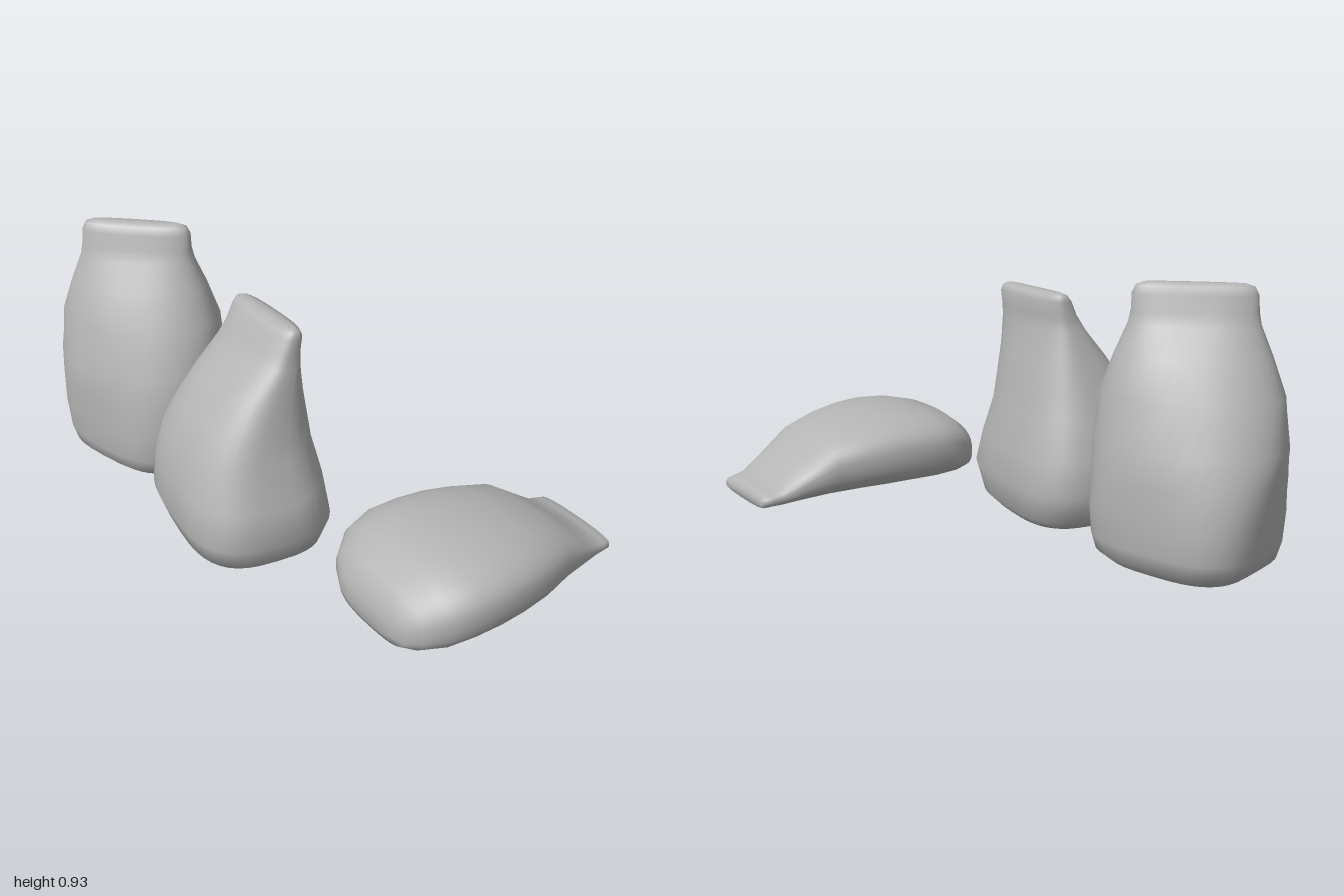
import * as THREE from 'three';

const SEGMENTS = 40;

// Skin a closed sack through rings [height, centreU, centreV, halfU, halfV, turn in degrees, squareness]
function loft(rings, place) {
  const positions = [], index = [];
  for (const [h, cu, cv, a, b, deg, n] of rings) {
    const turn = THREE.MathUtils.degToRad(deg), c = Math.cos(turn), s = Math.sin(turn);
    for (let j = 0; j < SEGMENTS; j++) {
      const t = (j / SEGMENTS) * Math.PI * 2;
      const round = (k) => Math.sign(k) * Math.pow(Math.abs(k), 2 / n);
      const u = a * round(Math.cos(t)), v = b * round(Math.sin(t));
      positions.push(...place(cu + u * c - v * s, cv + u * s + v * c, h));
    }
  }
  for (let i = 0; i < rings.length - 1; i++) {
    for (let j = 0; j < SEGMENTS; j++) {
      const k = (j + 1) % SEGMENTS, p = i * SEGMENTS, q = p + SEGMENTS;
      index.push(p + j, q + j, p + k, q + j, q + k, p + k);
    }
  }
  // Close both ends with a fan
  const last = rings.length - 1;
  for (const i of [0, last]) {
    const [h, cu, cv] = rings[i], centre = positions.length / 3, p = i * SEGMENTS;
    positions.push(...place(cu, cv, h));
    for (let j = 0; j < SEGMENTS; j++) {
      const k = (j + 1) % SEGMENTS;
      if (i === 0) index.push(centre, p + j, p + k);
      else index.push(centre, p + k, p + j);
    }
  }
  const geometry = new THREE.BufferGeometry();
  geometry.setAttribute('position', new THREE.Float32BufferAttribute(positions, 3));
  geometry.setIndex(index);
  geometry.computeVertexNormals();
  return geometry;
}

export function createModel() {
  const group = new THREE.Group();
  const cloth = new THREE.MeshStandardMaterial({ color: 0xb4b4b4 });
  cloth.name = 'grey cloth';

  const upright = (u, v, h) => [u, h, v];
  const lying = (u, v, h) => [u, v, -h];

  const add = (name, rings, place) => {
    const mesh = new THREE.Mesh(loft(rings, place), cloth);
    mesh.name = name;
    group.add(mesh);
  };

  // Tall sack whose flat mouth is turned diagonally to its square base
  add('tallSack', [
    [0.003, -0.69, 0.325, 0.19, 0.15, -14, 3],
    [0.012, -0.69, 0.325, 0.235, 0.195, -14, 3],
    [0.05, -0.69, 0.325, 0.28, 0.237, -14, 3],
    [0.1, -0.69, 0.325, 0.293, 0.25, -14, 3],
    [0.2, -0.69, 0.325, 0.302, 0.257, -16, 2.9],
    [0.32, -0.69, 0.327, 0.31, 0.257, -22, 2.5],
    [0.42, -0.688, 0.33, 0.315, 0.245, -30, 2.2],
    [0.58, -0.686, 0.33, 0.295, 0.195, -41, 2.1],
    [0.7, -0.686, 0.33, 0.25, 0.135, -45, 2.2],
    [0.8, -0.686, 0.33, 0.208, 0.08, -46, 2.4],
    [0.84, -0.686, 0.33, 0.2, 0.06, -46, 2.5],
    [0.895, -0.686, 0.328, 0.197, 0.05, -46, 2.5],
    [0.92, -0.686, 0.328, 0.185, 0.036, -46, 2.5],
    [0.93, -0.686, 0.328, 0.16, 0.018, -46, 2.5],
  ], upright);

  // Slumped sack that leans back towards its mouth
  add('slumpedSack', [
    [0, -0.015, 0.32, 0.2, 0.14, 9, 3],
    [0.01, -0.02, 0.32, 0.25, 0.185, 9, 3],
    [0.05, -0.03, 0.327, 0.31, 0.235, 9, 3],
    [0.15, -0.02, 0.337, 0.35, 0.262, 9, 3],
    [0.27, -0.03, 0.335, 0.325, 0.25, 8, 2.8],
    [0.4, -0.035, 0.333, 0.28, 0.22, 6, 2.7],
    [0.5, -0.025, 0.315, 0.25, 0.182, 4, 2.7],
    [0.6, -0.015, 0.29, 0.222, 0.138, 3, 2.7],
    [0.7, -0.002, 0.257, 0.193, 0.08, 0, 2.8],
    [0.75, 0, 0.24, 0.181, 0.064, 0, 2.8],
    [0.8, 0.002, 0.226, 0.179, 0.052, 0, 2.8],
    [0.82, 0.002, 0.222, 0.172, 0.036, 0, 2.8],
    [0.828, 0.002, 0.222, 0.155, 0.016, 0, 2.8],
  ], upright);

  // Sack lying on its side with the mouth to the rear
  add('lyingSack', [
    [-0.314, 0.695, 0.08, 0.11, 0.035, 0, 2.6],
    [-0.302, 0.695, 0.088, 0.17, 0.068, 0, 2.6],
    [-0.27, 0.69, 0.112, 0.23, 0.1, 0, 2.6],
    [-0.2, 0.688, 0.136, 0.283, 0.126, 0, 2.6],
    [-0.1, 0.686, 0.149, 0.305, 0.139, 0, 2.6],
    [0, 0.692, 0.153, 0.303, 0.143, 0, 2.6],
    [0.1, 0.694, 0.15, 0.293, 0.14, 0, 2.6],
    [0.2, 0.694, 0.142, 0.275, 0.13, 0, 2.6],
    [0.33, 0.687, 0.125, 0.238, 0.113, 0, 2.6],
    [0.45, 0.68, 0.082, 0.205, 0.069, 0, 2.6],
    [0.53, 0.677, 0.053, 0.18, 0.04, 0, 2.7],
    [0.57, 0.677, 0.048, 0.174, 0.034, 0, 2.7],
    [0.6, 0.677, 0.044, 0.168, 0.031, 0, 2.7],
    [0.612, 0.677, 0.042, 0.155, 0.018, 0, 2.7],
  ], lying);

  return group;
}
